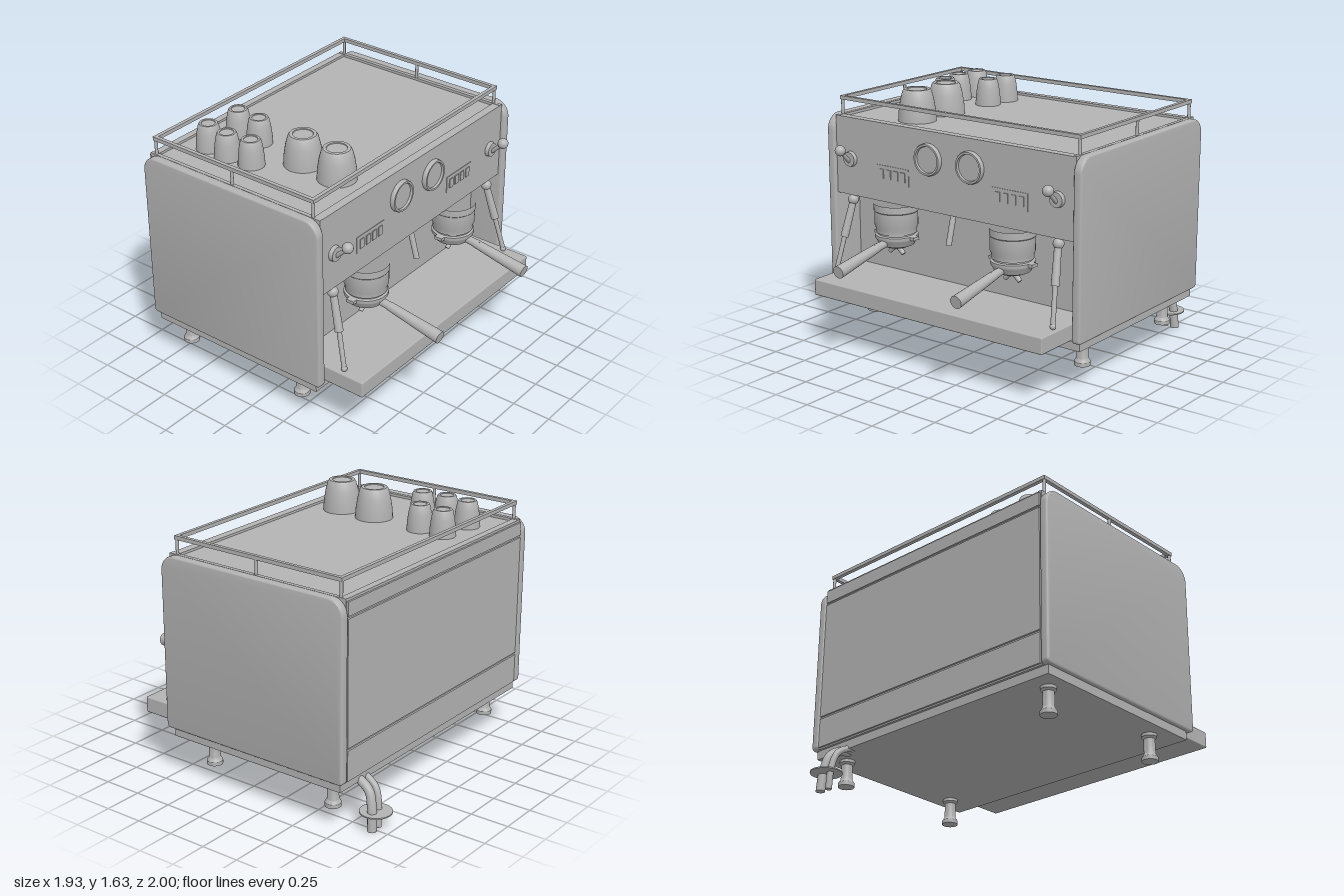
import * as THREE from 'three';
import { toCreasedNormals } from 'three/addons/utils/BufferGeometryUtils.js';
import { RoundedBoxGeometry } from 'three/addons/geometries/RoundedBoxGeometry.js';

export function createModel() {
  const model = new THREE.Group();
  model.name = 'espressoMachine';
  const metal = new THREE.MeshStandardMaterial({ color: 0xb3b3b3 });
  metal.name = 'grey metal';
  const V = (x, y, z) => new THREE.Vector3(x, y, z);

  function add(name, geometry, x = 0, y = 0, z = 0, parent = model) {
    const mesh = new THREE.Mesh(geometry, metal);
    mesh.name = name;
    mesh.position.set(x, y, z);
    parent.add(mesh);
    return mesh;
  }
  // box given by its limits
  function block(name, x0, x1, y0, y1, z0, z1, r = 0) {
    const s = [x1 - x0, y1 - y0, z1 - z0];
    const g = r ? new RoundedBoxGeometry(...s, 2, r) : new THREE.BoxGeometry(...s);
    return add(name, g, (x0 + x1) / 2, (y0 + y1) / 2, (z0 + z1) / 2);
  }
  // tapered round bar between two points
  function rod(name, a, b, ra, rb = ra, parent = model) {
    const dir = b.clone().sub(a);
    const mesh = add(name, new THREE.CylinderGeometry(rb, ra, dir.length(), 20), 0, 0, 0, parent);
    mesh.position.copy(a).addScaledVector(dir, 0.5);
    mesh.quaternion.setFromUnitVectors(V(0, 1, 0), dir.normalize());
    return mesh;
  }
  const ball = (name, p, r) => add(name, new THREE.SphereGeometry(r, 20, 14), p.x, p.y, p.z);
  // turned shape from [radius, height] pairs, bottom first
  const turned = (pts, seg = 32) => toCreasedNormals(
    new THREE.LatheGeometry(pts.map(([r, y]) => new THREE.Vector2(r, y)), seg), 0.6);
  // outline in (-z, y) extruded along x and centred at the given x
  function prism(name, shape, width, x, bevel = 0) {
    const g = new THREE.ExtrudeGeometry(shape, {
      depth: width - 2 * bevel, bevelEnabled: bevel > 0, bevelSize: bevel,
      bevelThickness: bevel, bevelOffset: -bevel, bevelSegments: 3, curveSegments: 12,
    });
    g.translate(0, 0, -width / 2 + bevel);
    g.rotateY(Math.PI / 2);
    return add(name, toCreasedNormals(g, 0.6), x);
  }

  // body with the overhanging head and the open working area
  const profile = [[0.28, 0.335], [0.28, 0.945], [0.48, 0.945], [0.48, 1.43], [-0.815, 1.43], [-0.815, 0.335]];
  const bodyShape = new THREE.Shape(profile.map(([z, y]) => new THREE.Vector2(-z, y)));
  prism('body', bodyShape, 1.824, 0);
  block('base', -0.94, 0.94, 0.28, 0.335, -0.8, 0.46);

  // raised lip round the cup tray
  for (const s of [-1, 1]) block('topLipSide', s * 0.9 - 0.012, s * 0.9 + 0.012, 1.42, 1.447, -0.815, 0.48);
  block('topLipFront', -0.9, 0.9, 1.42, 1.445, 0.425, 0.48);
  block('topLipBack', -0.9, 0.9, 1.42, 1.445, -0.815, -0.77);

  // back cover plates with narrow gaps
  for (const [y0, y1] of [[0.345, 0.535], [0.55, 1.33], [1.345, 1.43]])
    block('backPlate', -0.905, 0.905, y0, y1, -0.827, -0.81);

  // side panels with large upper corners
  const z0 = -0.83, z1 = 0.505, yb = 0.335, yt = 1.45, r = 0.1, q = 0.025;
  const panel = new THREE.Shape();
  panel.moveTo(-z1 + q, yb);
  panel.lineTo(-z0 - q, yb);
  panel.absarc(-z0 - q, yb + q, q, -Math.PI / 2, 0);
  panel.absarc(-z0 - r, yt - r, r, 0, Math.PI / 2);
  panel.absarc(-z1 + r, yt - r, r, Math.PI / 2, Math.PI);
  panel.absarc(-z1 + q, yb + q, q, Math.PI, Math.PI * 1.5);
  for (const s of [-1, 1]) prism('sidePanel', panel, 0.055, s * 0.9375, 0.012);

  // drip tray
  block('dripTray', -0.88, 0.88, 0.336, 0.44, 0.27, 0.755, 0.008);

  // feet
  const foot = turned([[0, 0.11], [0.05, 0.11], [0.05, 0.135], [0.036, 0.155], [0.034, 0.25],
    [0.047, 0.262], [0.047, 0.285]], 24);
  for (const x of [-0.82, 0.82]) for (const z of [-0.66, 0.25]) add('foot', foot, x, 0, z);

  // cup rail
  const rx = 0.9, rf = 0.425, rb = -0.775, ry = 1.55;
  for (const z of [rf, rb]) block('railLong', -rx - 0.012, rx + 0.012, ry - 0.012, ry + 0.012, z - 0.012, z + 0.012);
  for (const s of [-1, 1]) {
    block('railSide', s * rx - 0.012, s * rx + 0.012, ry - 0.012, ry + 0.012, rb, rf);
    for (const z of [rf, (rf + rb) / 2, rb]) rod('railPost', V(s * rx, 1.43, z), V(s * rx, ry, z), 0.01);
  }

  // upturned cups
  const cupPoints = [[1, 0], [0.97, 0.3], [0.88, 0.65], [0.76, 0.93], [0.68, 1], [0.52, 1], [0.5, 0.975], [0, 0.975]];
  const cup = (radius, h) => turned(cupPoints.map(([a, b]) => [a * radius, b * h]));
  const smallCup = cup(0.082, 0.17), bigCup = cup(0.12, 0.2);
  for (const [x, z] of [[-0.63, -0.6], [-0.38, -0.585], [-0.65, -0.435], [-0.39, -0.41], [-0.63, -0.265]])
    add('smallCup', smallCup, x, 1.43, z);
  for (const [x, z] of [[-0.435, 0.035 - 0.065], [-0.45, 0.235]]) add('bigCup', bigCup, x, 1.43, z);

  // gauges
  const bezel = turned([[0.08, 0.012], [0.084, 0.028], [0.096, 0.028], [0.1, 0.02], [0.1, 0]].reverse(), 40);
  for (const x of [-0.16, 0.16]) {
    const gauge = new THREE.Group();
    gauge.name = 'gauge';
    gauge.position.set(x, 1.27, 0.48);
    gauge.rotation.x = Math.PI / 2;
    model.add(gauge);
    add('bezel', bezel, 0, 0, 0, gauge);
    add('dial', new THREE.CylinderGeometry(0.083, 0.083, 0.014, 40), 0, 0.007, 0, gauge);
  }

  // brewing groups, filter holders and button plates
  const head = turned([[0.11, 0.76], [0.128, 0.765], [0.128, 0.79], [0.136, 0.81], [0.136, 0.9], [0.14, 0.905], [0.14, 0.95]], 40);
  const basket = turned([[0, 0.665], [0.07, 0.667], [0.11, 0.685], [0.125, 0.715], [0.135, 0.73],
    [0.135, 0.75], [0.12, 0.755], [0.12, 0.78]], 40);
  for (const x of [-0.45, 0.45]) {
    add('groupHead', head, x, 0, 0.452);
    add('filterHolder', basket, x, 0, 0.452);
    block('holderEars', x - 0.16, x + 0.16, 0.73, 0.75, 0.425, 0.48);
    rod('handleNeck', V(x, 0.71, 0.54), V(x, 0.695, 0.66), 0.024, 0.027);
    rod('handle', V(x, 0.698, 0.63), V(x, 0.63, 0.993), 0.028, 0.04);
    for (const s of [-1, 1]) rod('coffeeSpout', V(x, 0.68, 0.452), V(x + s * 0.055, 0.622, 0.452), 0.02, 0.014);

    block('buttonPlate', x - 0.13, x + 0.13, 1.07, 1.178, 0.475, 0.484);
    for (let i = 0; i < 4; i++) {
      const bx = x + (i - 1.5) * 0.058;
      block('button', bx - 0.018, bx + 0.018, 1.095, 1.155, 0.48, 0.49);
    }
  }

  // hot water spout
  rod('waterSpout', V(0, 0.96, 0.44), V(0, 0.76, 0.495), 0.018);

  // steam levers and wands, mirrored
  for (const s of [-1, 1]) {
    const x = s * 0.79;
    rod('leverCollar', V(x, 1.18, 0.475), V(x, 1.18, 0.505), 0.05, 0.045);
    rod('leverStem', V(x, 1.165, 0.495), V(x, 1.245, 0.58), 0.013);
    ball('leverKnob', V(x, 1.25, 0.58), 0.034);
    ball('wandJoint', V(x, 0.915, 0.47), 0.034);
    const top = V(x, 0.9, 0.475), mid = V(s * 0.815, 0.68, 0.535), tip = V(s * 0.842, 0.455, 0.593);
    rod('wandGrip', top, mid, 0.022, 0.026);
    rod('wandTube', mid, tip, 0.015);
    ball('wandTip', tip, 0.019);
  }

  // hoses through a round floor plate
  for (const [xa, xb, rad, dz] of [[0.675, 0.705, 0.02, 0], [0.74, 0.772, 0.028, -0.005]]) {
    const path = new THREE.CatmullRomCurve3([V(xa, 0.3, -0.72), V(xa, 0.285, -0.79), V(xa + 0.008, 0.235, -0.865),
      V(xb - 0.01, 0.14, -0.895), V(xb, 0.002, -0.9 + dz)]);
    add('hose', new THREE.TubeGeometry(path, 32, rad, 14));
    add('hoseEnd', new THREE.CylinderGeometry(rad, rad, 0.004, 14), xb, 0.002, -0.9 + dz);
  }
  add('hosePlate', new THREE.CylinderGeometry(0.098, 0.098, 0.008, 36), 0.73, 0.11, -0.902);

  return model;
}
